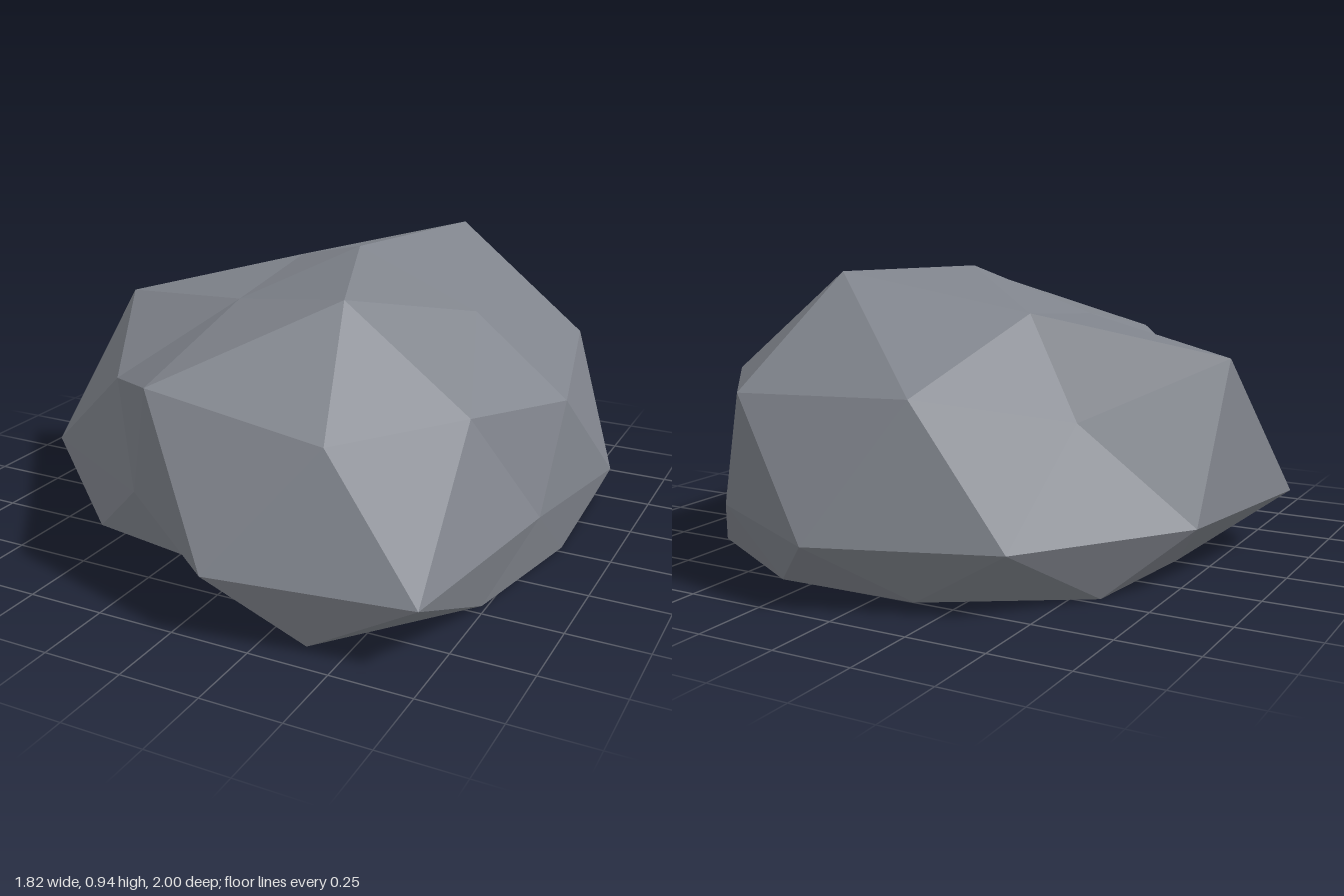
import * as THREE from 'three';

export function createModel() {
  const model = new THREE.Group();
  model.name = 'boulder';

  const stone = new THREE.MeshStandardMaterial({ color: 0x7f838b });
  stone.name = 'stone grey';
  stone.flatShading = true;

  // Rings of corners from the peak down, each going anticlockwise seen from above
  const peak = [0.1, 0.93, -0.02];
  const crown = [
    [0.25, 0.865, 0.4], [0.51, 0.76, -0.02], [0.27, 0.935, -0.53],
    [-0.26, 0.81, -0.3], [-0.23, 0.765, 0.2],
  ];
  const shoulder = [
    [0.36, 0.54, 0.75], [0.64, 0.54, 0.35], [0.82, 0.51, -0.02], [0.72, 0.6, -0.49],
    [0.39, 0.6, -0.9], [-0.13, 0.605, -0.79], [-0.46, 0.5, -0.38], [-0.81, 0.675, -0.03],
    [-0.53, 0.53, 0.48], [-0.17, 0.66, 0.84],
  ];
  const level = (y, points) => points.map(([x, z]) => [x, y, z]);
  const girdle = level(0.2, [
    [0.1, 1], [0.72, 0.91], [0.82, 0.2], [0.91, -0.28], [0.6, -0.73],
    [0.1, -1], [-0.45, -0.8], [-0.81, -0.29], [-0.91, 0.32], [-0.4, 0.6],
  ]);
  const foot = level(0, [
    [0.38, 0.895], [0.735, 0.455], [0.83, -0.03], [0.81, -0.49], [0.355, -0.76],
    [-0.12, -0.75], [-0.58, -0.46], [-0.635, 0.02], [-0.61, 0.505], [-0.115, 0.595],
  ]);

  const positions = [];
  const face = (...corners) => corners.forEach((c) => positions.push(...c));

  // Five matching sectors of facets around the boulder
  for (let i = 0; i < 5; i++) {
    const a = 2 * i, b = a + 1, c = (a + 2) % 10;
    const top = crown[i], nextTop = crown[(i + 1) % 5];

    // cap
    face(peak, top, nextTop);
    face(top, shoulder[a], shoulder[b]);
    face(top, shoulder[b], nextTop);
    face(nextTop, shoulder[b], shoulder[c]);

    // sides
    face(girdle[a], girdle[b], shoulder[a]);
    face(shoulder[a], girdle[b], shoulder[b]);
    face(shoulder[b], girdle[b], girdle[c]);
    face(shoulder[b], girdle[c], shoulder[c]);

    // undercut
    face(girdle[a], foot[a], girdle[b]);
    face(foot[a], foot[b], girdle[b]);
    face(girdle[b], foot[b], girdle[c]);
    face(foot[b], foot[c], girdle[c]);

    // flat underside
    face([0, 0, 0], foot[b], foot[a]);
    face([0, 0, 0], foot[c], foot[b]);
  }

  const geometry = new THREE.BufferGeometry();
  geometry.setAttribute('position', new THREE.Float32BufferAttribute(positions, 3));
  geometry.computeVertexNormals();

  const rock = new THREE.Mesh(geometry, stone);
  rock.name = 'rock';
  model.add(rock);
  return model;
}
